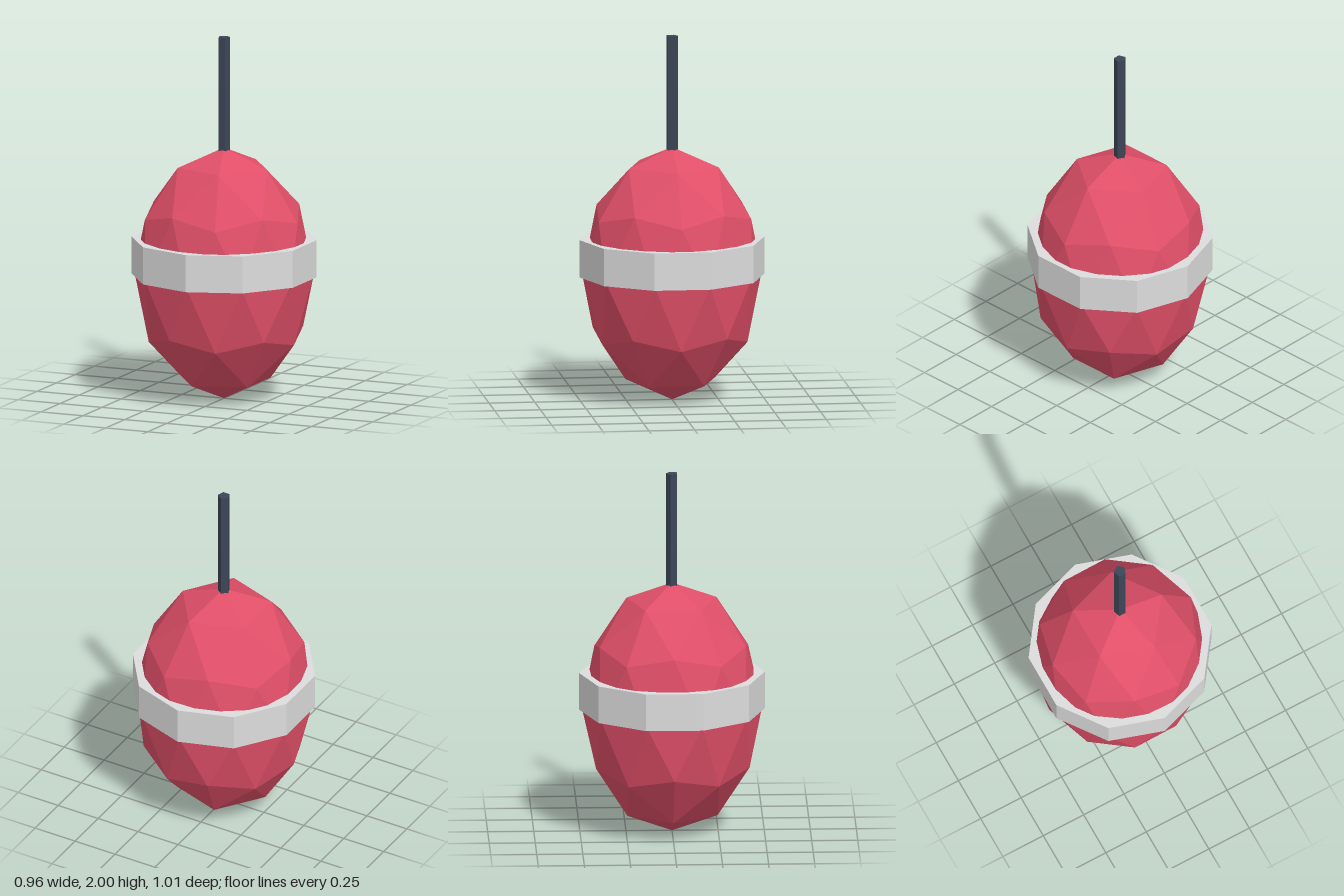
import * as THREE from 'three';

const paint = (name, color) => {
  const m = new THREE.MeshStandardMaterial({ color, flatShading: true });
  m.name = name;
  return m;
};

export function createModel() {
  const group = new THREE.Group();
  const red = paint('red', 0xe04f68);
  const grey = paint('light grey', 0xdcdcdc);
  const slate = paint('dark slate', 0x3d4557);

  const add = (name, geometry, material, y) => {
    const mesh = new THREE.Mesh(geometry, material);
    mesh.name = name;
    mesh.position.y = y;
    group.add(mesh);
  };

  // Faceted egg-shaped float: icosphere turned so a corner sits at each pole
  const body = new THREE.IcosahedronGeometry(1, 1);
  body.rotateZ(-Math.atan(2 / (1 + Math.sqrt(5))));
  body.scale(0.49, 0.694, 0.49);
  body.computeVertexNormals();
  add('floatBody', body, red, 0.694);

  // Ten-sided band around the middle
  add('band', new THREE.CylinderGeometry(0.505, 0.505, 0.205, 10), grey, 0.783);

  // Five-sided rod rising from the top
  const bottom = 1.35;
  const rod = new THREE.CylinderGeometry(0.033, 0.033, 2 - bottom, 5);
  rod.rotateY(Math.PI);
  add('rod', rod, slate, (2 + bottom) / 2);

  return group;
}
